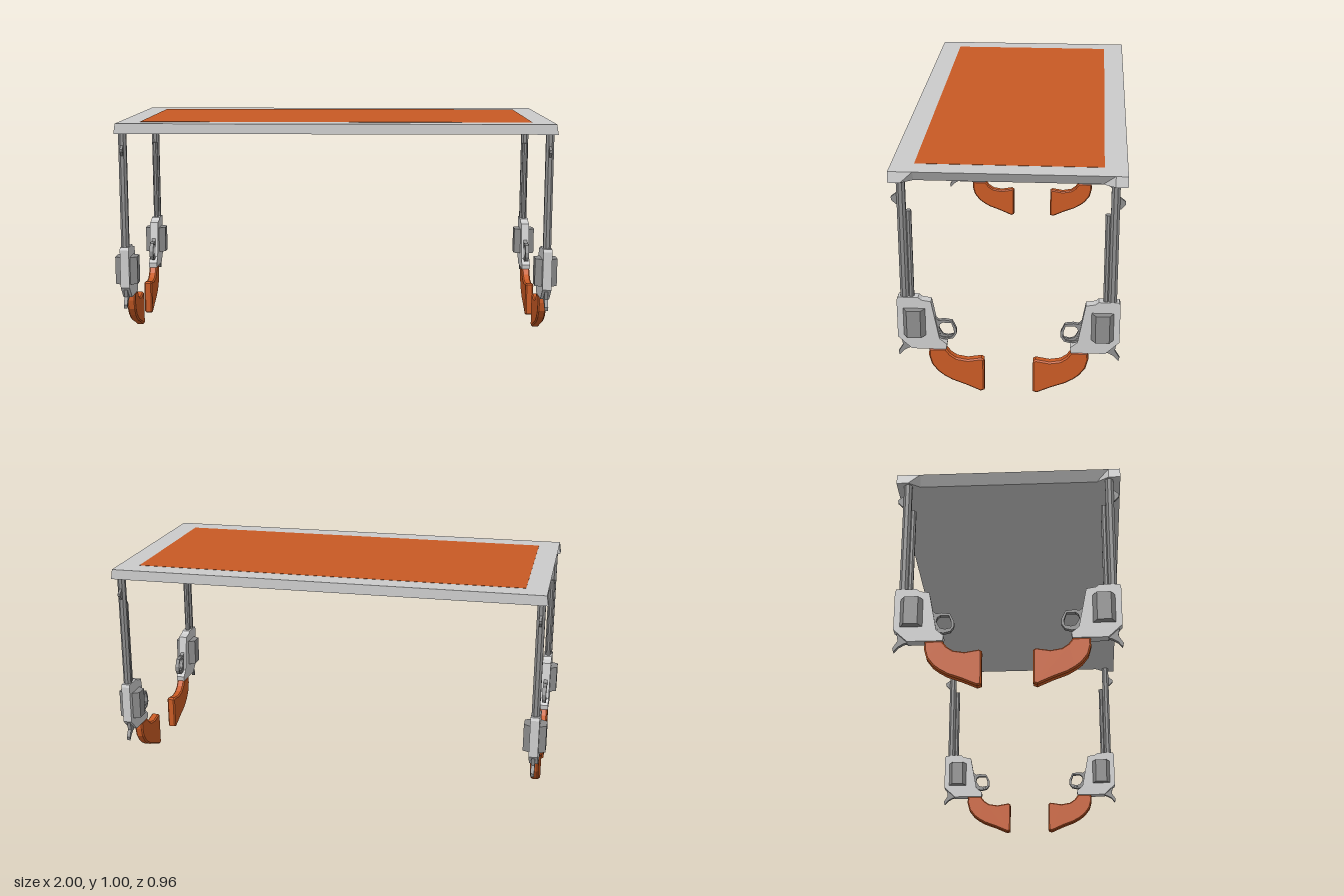
import * as THREE from 'three';

const steel = new THREE.MeshStandardMaterial({ color: 0xcccccc, flatShading: true });
const dark = new THREE.MeshStandardMaterial({ color: 0x8c8c8c, flatShading: true });
const wood = new THREE.MeshStandardMaterial({ color: 0xc85a24, flatShading: true });

function add(parent, name, geometry, material, x = 0, y = 0, z = 0) {
  const mesh = new THREE.Mesh(geometry, material);
  mesh.name = name;
  mesh.position.set(x, y, z);
  parent.add(mesh);
  return mesh;
}

const toPoints = (list) => list.map(([z, y]) => new THREE.Vector2(z, y));

// Side profile given as (z, y), extruded along x and centred on x = 0
function plate(profile, width, bevel = 0, hole = null) {
  const shape = new THREE.Shape(toPoints(profile));
  if (hole) shape.holes.push(new THREE.Path(toPoints(hole)));
  const depth = width - 2 * bevel;
  const geometry = new THREE.ExtrudeGeometry(shape, {
    depth, bevelEnabled: bevel > 0, bevelThickness: bevel,
    bevelSize: bevel, bevelOffset: -bevel, bevelSegments: 1,
  });
  return geometry.translate(0, 0, -depth / 2).rotateY(-Math.PI / 2);
}

const FRAME = [
  [0.46, 0.443], [0.375, 0.443], [0.362, 0.432], [0.322, 0.425], [0.29, 0.253],
  [0.259, 0.226], [0.262, 0.203], [0.407, 0.203], [0.465, 0.258], [0.465, 0.43],
];
const GRIP = [
  [0.335, 0.203], [0.337, 0.17], [0.326, 0.128], [0.3, 0.093], [0.274, 0.072],
  [0.24, 0.052], [0.182, 0.03], [0.12, 0.002], [0.103, 0.008], [0.103, 0.155],
  [0.115, 0.162], [0.173, 0.152], [0.22, 0.16], [0.245, 0.178], [0.264, 0.203],
];
const GUARD = [
  [0.308, 0.345], [0.293, 0.332], [0.272, 0.336], [0.236, 0.331], [0.219, 0.295],
  [0.219, 0.271], [0.233, 0.25], [0.261, 0.243], [0.295, 0.25], [0.302, 0.3],
];
const GUARD_HOLE = [
  [0.292, 0.3], [0.288, 0.314], [0.276, 0.323], [0.24, 0.322], [0.23, 0.293],
  [0.23, 0.27], [0.241, 0.256], [0.262, 0.251], [0.286, 0.258],
];
const TRIGGER = [
  [0.298, 0.31], [0.286, 0.285], [0.276, 0.268], [0.256, 0.263], [0.234, 0.268],
  [0.236, 0.259], [0.258, 0.254], [0.298, 0.255],
];
const HAMMER = [
  [0.455, 0.26], [0.447, 0.212], [0.467, 0.18], [0.463, 0.163], [0.445, 0.185],
  [0.422, 0.199], [0.4, 0.205], [0.4, 0.26],
];
const SIGHT = [
  [0.44, 0.906], [0.453, 0.904], [0.473, 0.888], [0.472, 0.876], [0.453, 0.856], [0.44, 0.856],
];

// One revolver-shaped leg, barrel upwards and grip turned towards the middle
function createLeg() {
  const leg = new THREE.Group();
  const eighth = Math.PI / 8;
  add(leg, 'barrel', new THREE.CylinderGeometry(0.019, 0.019, 0.54, 8).rotateY(eighth), dark, 0, 0.70, 0.432);
  add(leg, 'ejectorRod', new THREE.CylinderGeometry(0.013, 0.013, 0.40, 8).rotateY(eighth), dark, 0, 0.63, 0.405);
  add(leg, 'sight', plate(SIGHT, 0.012), dark);
  add(leg, 'frame', plate(FRAME, 0.04), steel);
  add(leg, 'cylinder', new THREE.CylinderGeometry(0.0577, 0.0577, 0.125, 6), dark, 0, 0.331, 0.393);
  add(leg, 'triggerGuard', plate(GUARD, 0.018, 0, GUARD_HOLE), dark);
  add(leg, 'trigger', plate(TRIGGER, 0.01), dark);
  add(leg, 'hammer', plate(HAMMER, 0.016), dark);
  add(leg, 'grip', plate(GRIP, 0.038, 0.006), wood);
  return leg;
}

// Slab whose end faces slope inwards below, except at the flared corners
function tabletopGeometry() {
  const rows = [-0.48, -0.43, -0.38, 0.38, 0.43, 0.48];
  const geometry = new THREE.BoxGeometry(1.95, 0.045, 5, 1, 1, 5);
  const p = geometry.attributes.position;
  for (let i = 0; i < p.count; i++) {
    const z = rows[Math.round(p.getZ(i) + 2.5)];
    const lower = Math.abs(z) < 0.4 ? 0.945 : 0.98;
    p.setX(i, Math.sign(p.getX(i)) * (p.getY(i) < 0 ? lower : 0.973));
    p.setZ(i, z);
  }
  geometry.computeVertexNormals();
  return geometry;
}

export function createModel() {
  const table = new THREE.Group();
  table.name = 'table';
  add(table, 'tabletop', tabletopGeometry(), steel, 0, 0.981, 0);
  add(table, 'inlay', new THREE.BoxGeometry(1.755, 0.01, 0.77), wood, 0, 0.9995, 0);

  for (const x of [-0.95, 0.95]) {
    for (const end of ['front', 'back']) {
      const leg = createLeg();
      leg.name = `${end}${x > 0 ? 'Left' : 'Right'}Leg`;
      leg.position.x = x;
      if (end === 'back') leg.rotation.y = Math.PI;
      table.add(leg);
    }
  }
  return table;
}
